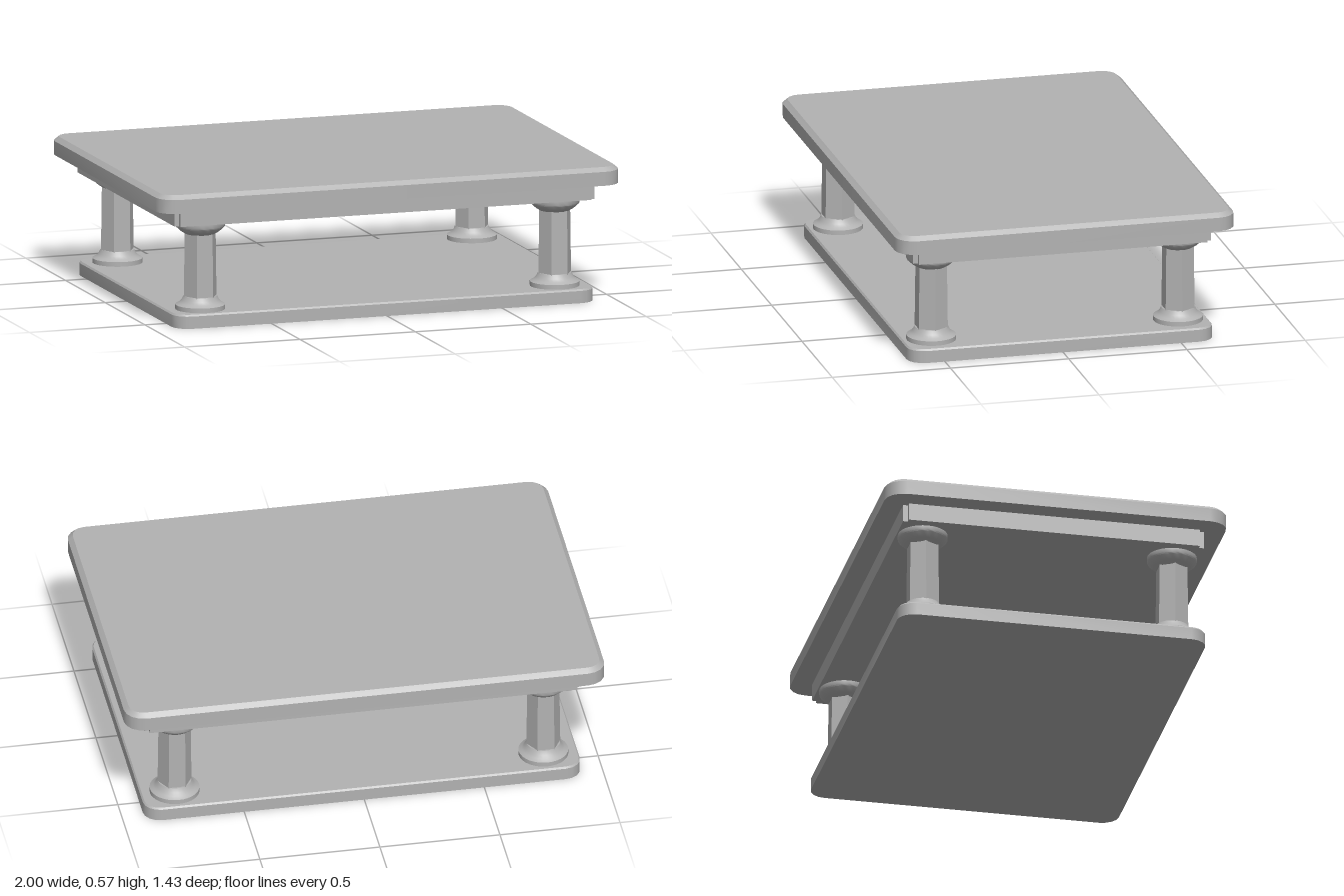
import * as THREE from 'three';
import { toCreasedNormals } from 'three/addons/utils/BufferGeometryUtils.js';
import { ConvexGeometry } from 'three/addons/geometries/ConvexGeometry.js';

const grey = new THREE.MeshStandardMaterial({ color: 0xb2b2b2 });
grey.name = 'plain grey';

function part(name, geometry) {
  const mesh = new THREE.Mesh(geometry, grey);
  mesh.name = name;
  return mesh;
}

// Corner points of a rounded rectangle at height y
function ring(halfX, halfZ, radius, y) {
  const points = [];
  const steps = 4;
  for (let corner = 0; corner < 4; corner++) {
    const sx = corner === 0 || corner === 3 ? 1 : -1;
    const sz = corner < 2 ? 1 : -1;
    for (let i = 0; i <= steps; i++) {
      const a = ((corner + i / steps) * Math.PI) / 2;
      points.push(new THREE.Vector3(
        sx * (halfX - radius) + radius * Math.cos(a), y,
        sz * (halfZ - radius) + radius * Math.sin(a)));
    }
  }
  return points;
}

// Rounded board with a bevelled top edge
function board(halfX, halfZ, radius, y0, y1, bevelIn, bevelDown) {
  const geometry = new ConvexGeometry([
    ...ring(halfX, halfZ, radius, y0),
    ...ring(halfX, halfZ, radius, y1 - bevelDown),
    ...ring(halfX - bevelIn, halfZ - bevelIn, radius - bevelIn, y1),
  ]);
  return toCreasedNormals(geometry, 0.5);
}

// Round collar turned from [radius, height] pairs, listed upward
function turned(profile) {
  const points = profile.map(([r, y]) => new THREE.Vector2(r, y));
  return toCreasedNormals(new THREE.LatheGeometry(points, 32), 0.5);
}

function makeLeg() {
  const leg = new THREE.Group();
  leg.add(part('legFoot', turned([
    [0, 0.057], [0.1025, 0.057], [0.1025, 0.077], [0.088, 0.085],
    [0.077, 0.096], [0.069, 0.113], [0, 0.113]])));
  // Six-sided tapering shaft with corners toward the sides
  const shaft = new THREE.CylinderGeometry(0.067, 0.071, 0.29, 6, 1, true, Math.PI / 2);
  shaft.translate(0, 0.24, 0);
  leg.add(part('legShaft', toCreasedNormals(shaft, 0.3)));
  leg.add(part('legCapital', turned([
    [0, 0.373], [0.062, 0.373], [0.08, 0.384], [0.1, 0.402],
    [0.1025, 0.407], [0.1025, 0.425], [0, 0.425]])));
  return leg;
}

// Apron plan with a small square notch at each corner
function makeApron() {
  const X = 0.91, Z = 0.63, n = 0.02;
  const plan = [
    [X, -Z + n], [X, Z - n], [X - n, Z - n], [X - n, Z],
    [-X + n, Z], [-X + n, Z - n], [-X, Z - n], [-X, -Z + n],
    [-X + n, -Z + n], [-X + n, -Z], [X - n, -Z], [X - n, -Z + n],
  ].map(([x, z]) => new THREE.Vector2(x, z));
  const geometry = new THREE.ExtrudeGeometry(new THREE.Shape(plan), {
    depth: 0.073, bevelEnabled: false });
  geometry.rotateX(-Math.PI / 2);
  geometry.translate(0, 0.425, 0);
  return geometry;
}

export function createModel() {
  const table = new THREE.Group();
  table.name = 'lowTable';
  table.add(part('tableTop', board(1, 0.715, 0.08, 0.498, 0.573, 0.02, 0.017)));
  table.add(part('apron', makeApron()));
  table.add(part('baseShelf', board(0.91, 0.645, 0.07, 0, 0.058, 0.006, 0.007)));

  for (const sx of [-1, 1]) {
    for (const sz of [-1, 1]) {
      const leg = makeLeg();
      leg.name = (sz > 0 ? 'front' : 'back') + (sx > 0 ? 'Left' : 'Right') + 'Leg';
      leg.position.set(sx * 0.768, 0, sz * 0.522);
      table.add(leg);
    }
  }
  return table;
}
